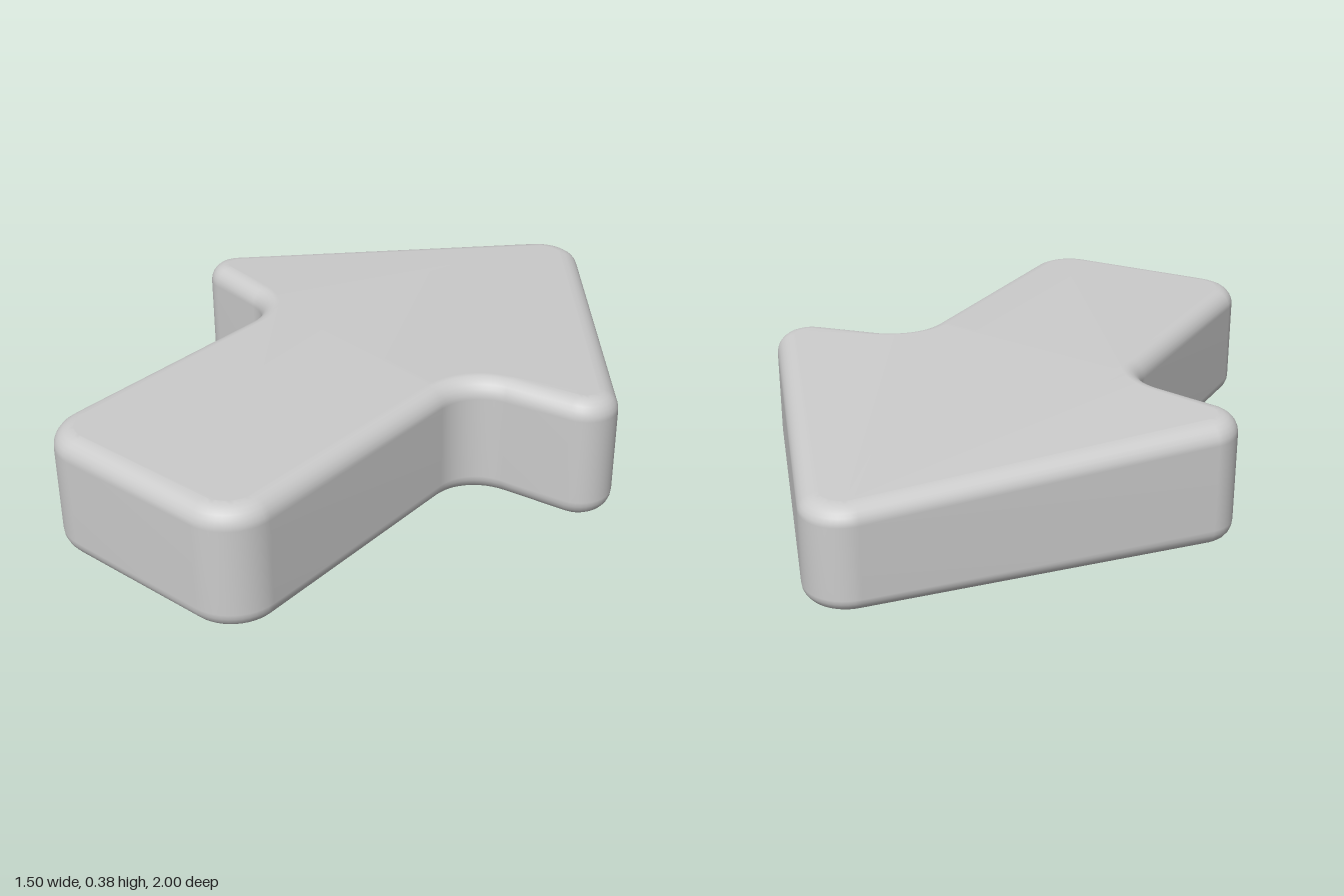
import * as THREE from 'three';
import { mergeVertices } from 'three/addons/utils/BufferGeometryUtils.js';

// Closed outline with every corner replaced by an arc; corners run counter-clockwise as [x, y, radius]
function roundedShape(corners) {
  const shape = new THREE.Shape();
  const n = corners.length;
  corners.forEach(([x, y, r], i) => {
    const [px, py] = corners[(i + n - 1) % n];
    const [qx, qy] = corners[(i + 1) % n];
    const p = new THREE.Vector2(x, y);
    const inDir = new THREE.Vector2(x - px, y - py).normalize();
    const outDir = new THREE.Vector2(qx - x, qy - y).normalize();
    const turn = Math.sign(inDir.cross(outDir));
    const half = Math.acos(inDir.dot(outDir)) / 2;
    const start = p.clone().addScaledVector(inDir, -r * Math.tan(half));
    const centre = start.clone().add(new THREE.Vector2(-inDir.y, inDir.x).multiplyScalar(r * turn));
    const a0 = Math.atan2(start.y - centre.y, start.x - centre.x);
    shape.absarc(centre.x, centre.y, r, a0, a0 + turn * 2 * half, turn < 0);
  });
  shape.closePath();
  return shape;
}

export function createModel() {
  const model = new THREE.Group();
  model.name = 'arrow';

  // Arrow outline seen from above, tip towards +y (which becomes -z)
  const half = [
    [0.365, -1, 0.14],     // shaft end
    [0.365, -0.045, 0.14], // inner corner between shaft and head
    [0.83, 0.04, 0.0975],  // head wing
  ];
  const mirrored = half.map(([x, y, r]) => [-x, y, r]).reverse();
  const outline = roundedShape([...half, [0, 1.07, 0.12], ...mirrored]);

  const bevel = 0.055, height = 0.363;
  let geometry = new THREE.ExtrudeGeometry(outline, {
    depth: height - 2 * bevel, curveSegments: 6,
    bevelEnabled: true, bevelSize: bevel, bevelThickness: bevel, bevelOffset: -bevel, bevelSegments: 6,
  });
  geometry.translate(0, 0, bevel);
  geometry.rotateX(-Math.PI / 2);

  // Thin the head towards its tip and let the wings droop slightly underneath
  const pos = geometry.attributes.position;
  for (let i = 0; i < pos.count; i++) {
    const t = pos.getY(i) / height;
    const ahead = Math.max(0, -pos.getZ(i));
    const wing = THREE.MathUtils.smoothstep(Math.abs(pos.getX(i)), 0.3, 0.7);
    const top = 0.378 - 0.058 * ahead;
    const bottom = 0.016 + 0.011 * ahead - 0.017 * wing;
    pos.setY(i, THREE.MathUtils.lerp(bottom, top, t));
  }

  // Share vertices so the rounded edges shade smoothly
  geometry.deleteAttribute('uv');
  geometry.deleteAttribute('normal');
  geometry = mergeVertices(geometry, 1e-5);
  geometry.computeVertexNormals();

  const body = new THREE.Mesh(geometry, new THREE.MeshStandardMaterial({ color: 0xcccccc }));
  body.name = 'arrowBody';
  model.add(body);
  return model;
}
